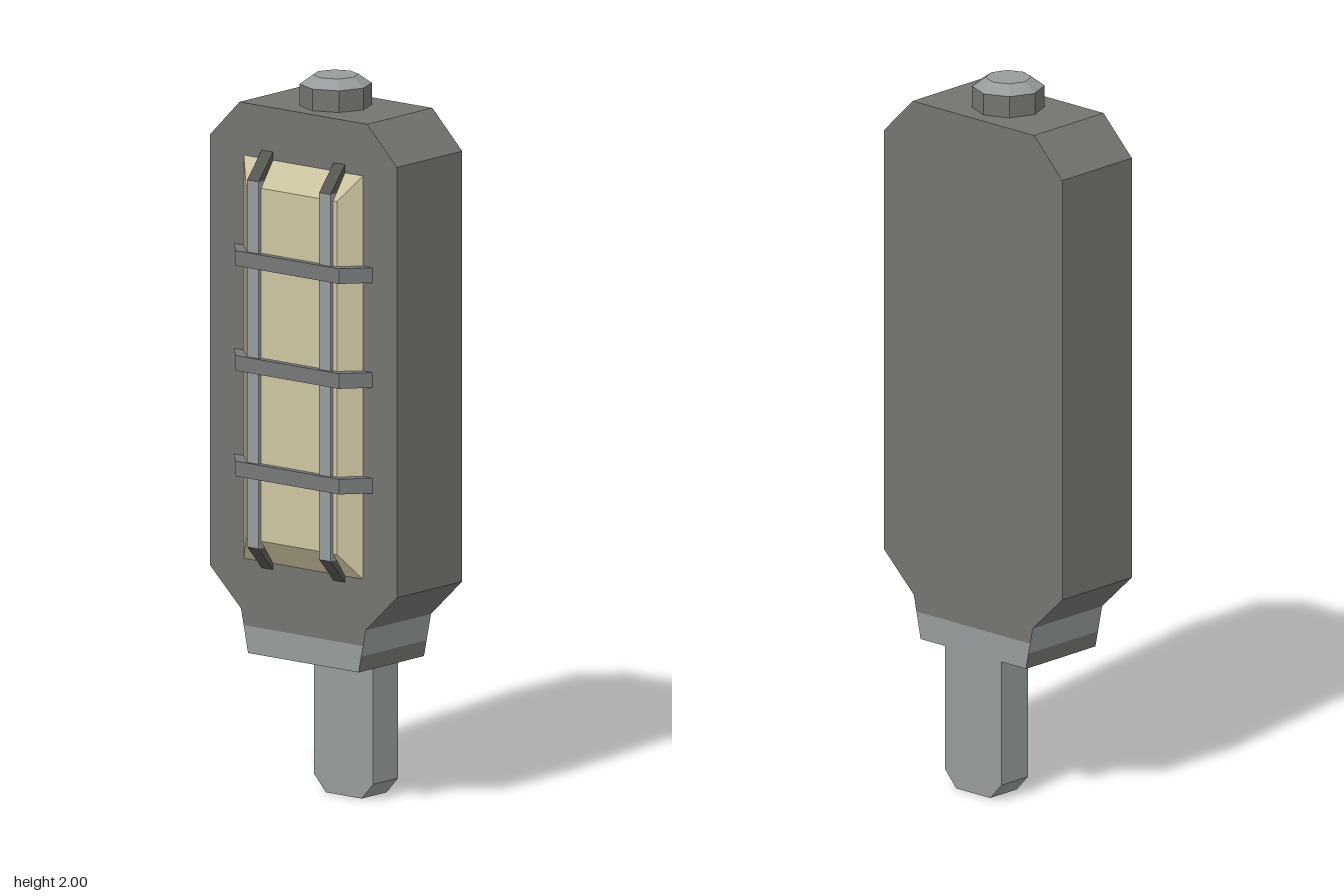
import * as THREE from 'three';

const mat = (name, color) => {
  const m = new THREE.MeshStandardMaterial({ color });
  m.name = name;
  return m;
};

export function createModel() {
  const group = new THREE.Group();
  const casing = mat('dark casing', 0x74746f);
  const steel = mat('light steel', 0x969b9c);
  const bar = mat('bar grey', 0x767979);
  const dark = mat('worn dark metal', 0x555552);
  const cream = mat('cream glass', 0xcdc4a0);

  const add = (name, geometry, material) => {
    const mesh = new THREE.Mesh(geometry, material);
    mesh.name = name;
    group.add(mesh);
    return mesh;
  };
  const extrude = (points, depth) => new THREE.ExtrudeGeometry(
    new THREE.Shape(points.map(([x, y]) => new THREE.Vector2(x, y))),
    { depth, bevelEnabled: false });
  // closes a right-hand half outline by mirroring it in x
  const mirror = half => [...half, ...half.map(([x, y]) => [-x, y]).reverse()];

  // chamfered main casing
  const back = -0.173, depth = 0.275;
  add('casing', extrude(mirror([[0.22, 0.515], [0.33, 0.62], [0.33, 1.81], [0.225, 1.915]]), depth)
    .translate(0, 0, back), casing);

  // tapered collar in bands: [top, bottom, front and back, sides]
  const collarX = y => 0.195 + (y - 0.395) / 0.12 * 0.025;
  for (const [top, bottom, face, side] of [
    [0.515, 0.47, casing, steel], [0.47, 0.44, steel, steel], [0.44, 0.395, steel, casing]]) {
    add('collar', extrude(mirror([[collarX(bottom), bottom], [collarX(top), top]]), depth)
      .translate(0, 0, back), [face, side]);
  }

  // flat tang at the bottom
  add('tang', extrude(mirror([[0.063, 0], [0.104, 0.045], [0.104, 0.4]]), 0.105)
    .translate(0, 0, back), steel);

  // octagonal button on top, with a chamfered crown
  const button = (name, top, bottom, y0, y1, material) => {
    const geometry = new THREE.CylinderGeometry(top, bottom, y1 - y0, 8).toNonIndexed();
    geometry.computeVertexNormals();
    add(name, geometry, material).position.set(0, (y0 + y1) / 2, -0.034);
  };
  button('buttonSide', 0.098, 0.098, 1.91, 1.975, casing);
  button('buttonCrown', 0.062, 0.098, 1.975, 2, steel);

  // bevelled window: the front face of a box is drawn in
  const pane = new THREE.BoxGeometry(0.42, 1.115, 0.05);
  const p = pane.attributes.position;
  for (let i = 0; i < p.count; i++) {
    if (p.getZ(i) > 0) p.setXY(i, Math.sign(p.getX(i)) * 0.16, Math.sign(p.getY(i)) * 0.488);
  }
  pane.computeVertexNormals();
  add('window', pane, cream).position.set(0, 1.2125, 0.127);

  // upright guard bars with dark sloping ends
  const z0 = 0.1, z1 = 0.163;
  for (const x of [-0.147, 0.107]) {
    const upright = (name, points, material) => add(name,
      extrude(points.map(([z, y]) => [-z, y]), 0.04).rotateY(Math.PI / 2).translate(x, 0, 0), material);
    upright('uprightBar', [[z0, 0.705], [z1, 0.705], [z1, 1.72], [z0, 1.72]], steel);
    upright('uprightBarTop', [[z0, 1.72], [z1, 1.72], [z0, 1.795]], dark);
    upright('uprightBarBottom', [[z0, 0.635], [z1, 0.705], [z0, 0.705]], dark);
  }

  // three cross bars with sloping ends
  for (const y of [0.918, 1.21, 1.5]) {
    add('crossBar', extrude(mirror([[0.245, z0], [0.183, 0.171]]), 0.042)
      .rotateX(Math.PI / 2).translate(0, y + 0.021, 0), bar);
  }

  // centre the depth on z = 0
  group.position.z = 0.001;
  return group;
}
